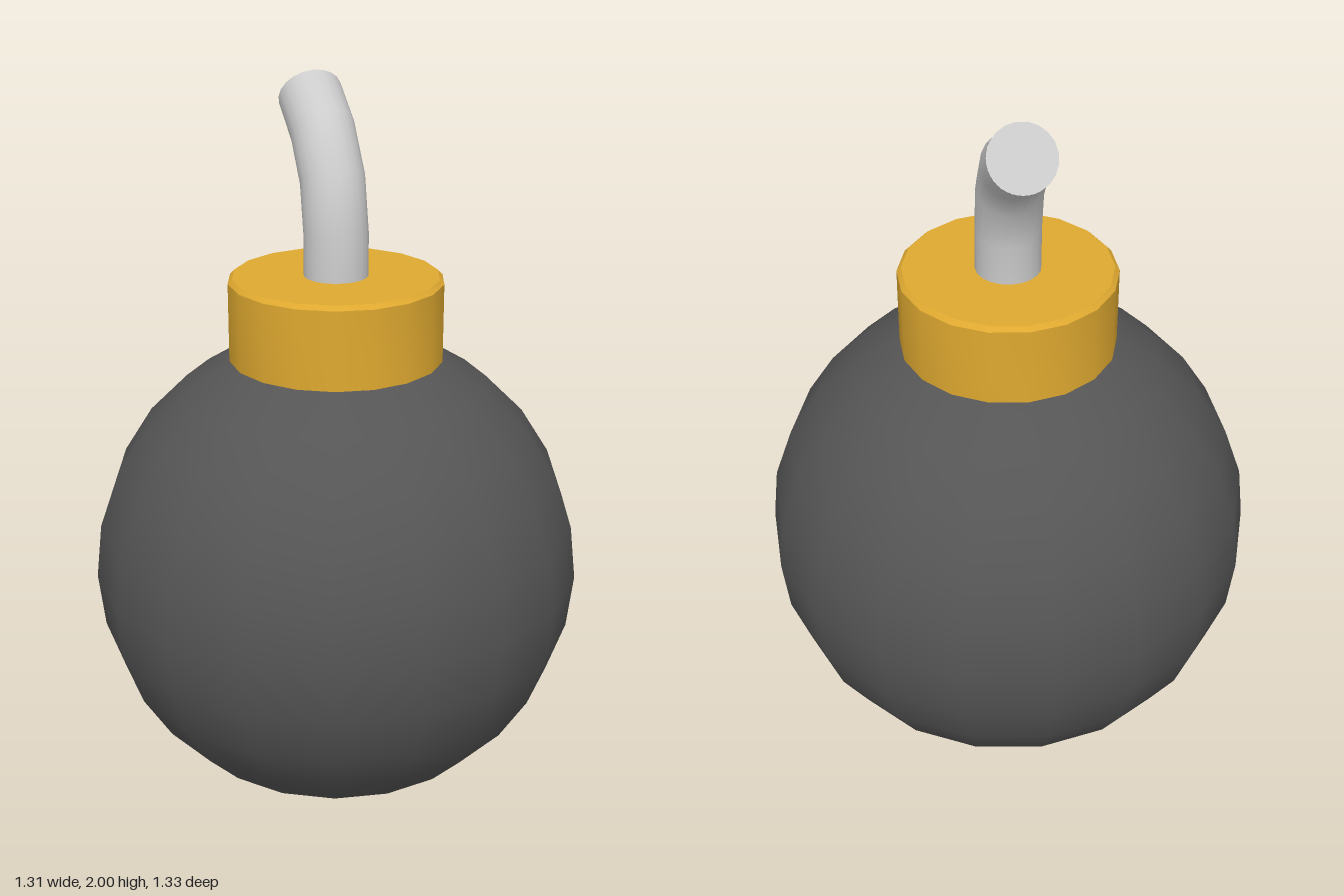
import * as THREE from 'three';
import { toCreasedNormals } from 'three/addons/utils/BufferGeometryUtils.js';

const SIDES = 18;

function addMesh(group, name, geometry, color) {
  const mesh = new THREE.Mesh(geometry, new THREE.MeshStandardMaterial({ color }));
  mesh.name = name;
  group.add(mesh);
  return mesh;
}

export function createModel() {
  const model = new THREE.Group();
  model.name = 'bomb';

  // Round body, turned so that a corner points to the front and back
  const radius = 0.667;
  const ball = new THREE.SphereGeometry(radius, SIDES, 14);
  ball.rotateY(Math.PI / SIDES);
  ball.translate(0, radius, 0);
  addMesh(model, 'body', ball, 0x555555);

  // Collar with a small bevel around its top edge
  const profile = [
    [0, 1.27], [0.288, 1.27], [0.288, 1.483], [0.276, 1.495], [0, 1.495],
  ].map(([x, y]) => new THREE.Vector2(x, y));
  const collar = toCreasedNormals(new THREE.LatheGeometry(profile, SIDES), 0.7);
  addMesh(model, 'collar', collar, 0xdfa930);

  // Fuse bending to the back right
  const fuseRadius = 0.086;
  const path = new THREE.CatmullRomCurve3([
    new THREE.Vector3(0, 1.47, 0),
    new THREE.Vector3(0, 1.6, 0),
    new THREE.Vector3(-0.022, 1.73, -0.014),
    new THREE.Vector3(-0.085, 1.84, -0.053),
    new THREE.Vector3(-0.196, 1.932, -0.122),
  ]);
  const fuse = new THREE.Group();
  fuse.name = 'fuse';
  model.add(fuse);
  addMesh(fuse, 'fuseCord', new THREE.TubeGeometry(path, 4, fuseRadius, 20), 0xcccccc);

  // Flat end of the fuse
  const tip = addMesh(fuse, 'fuseTip', new THREE.CircleGeometry(fuseRadius, 20), 0xcccccc);
  tip.position.copy(path.getPointAt(1));
  tip.quaternion.setFromUnitVectors(new THREE.Vector3(0, 0, 1), path.getTangentAt(1));

  return model;
}
